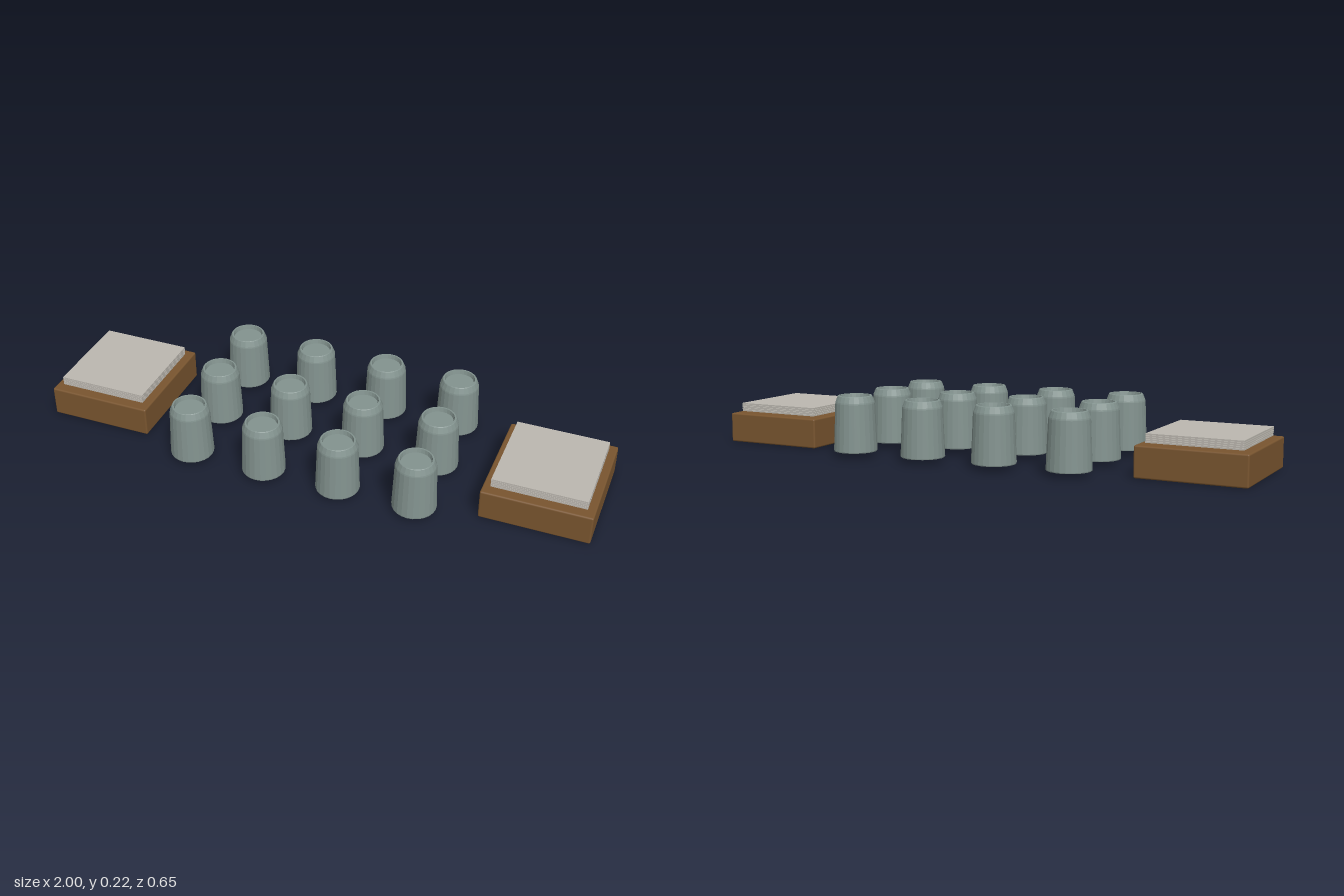
import * as THREE from 'three';
import { RoundedBoxGeometry } from 'three/addons/geometries/RoundedBoxGeometry.js';

const material = (name, color) => {
  const m = new THREE.MeshStandardMaterial({ color });
  m.name = name;
  return m;
};

export function createModel() {
  const group = new THREE.Group();
  const wood = material('brown wood', 0x79552f);
  const glaze = material('grey green glaze', 0x83938f);
  const paper = material('pale grey paper', 0xbcb8b0);

  const add = (name, geometry, mat, x, y, z) => {
    const mesh = new THREE.Mesh(geometry, mat);
    mesh.name = name;
    mesh.position.set(x, y, z);
    group.add(mesh);
  };

  // Upturned cup: tapered wall, sloping shoulder, foot ring with a shallow recess
  const profile = [
    [0, 0.018], [0.076, 0.018], [0.077, 0.021], [0.07, 0.188], [0.069, 0.193],
    [0.061, 0.213], [0.059, 0.215], [0.054, 0.215], [0.051, 0.2], [0, 0.2],
  ].map(([r, y]) => new THREE.Vector2(r, y));
  const cup = new THREE.LatheGeometry(profile, 24).toNonIndexed();
  cup.computeVertexNormals();

  // Grid of four by three cups
  for (let i = 0; i < 4; i++) {
    for (let j = -1; j <= 1; j++) add('cup', cup, glaze, -0.417 + i * 0.2755, 0, j * 0.247);
  }

  // Wooden blocks at both ends, each with a stack of sheets just above it
  const block = new RoundedBoxGeometry(0.38, 0.108, 0.41, 2, 0.006);
  const sheet = new THREE.BoxGeometry(0.325, 0.0054, 0.342);
  for (const side of [-1, 1]) {
    add('woodenBlock', block, wood, side * 0.81, 0.054, 0.004);
    for (let k = 0; k < 5; k++) {
      add('sheet', sheet, paper, side * 0.81, 0.1157 + k * 0.0064, 0.004);
    }
  }
  return group;
}
